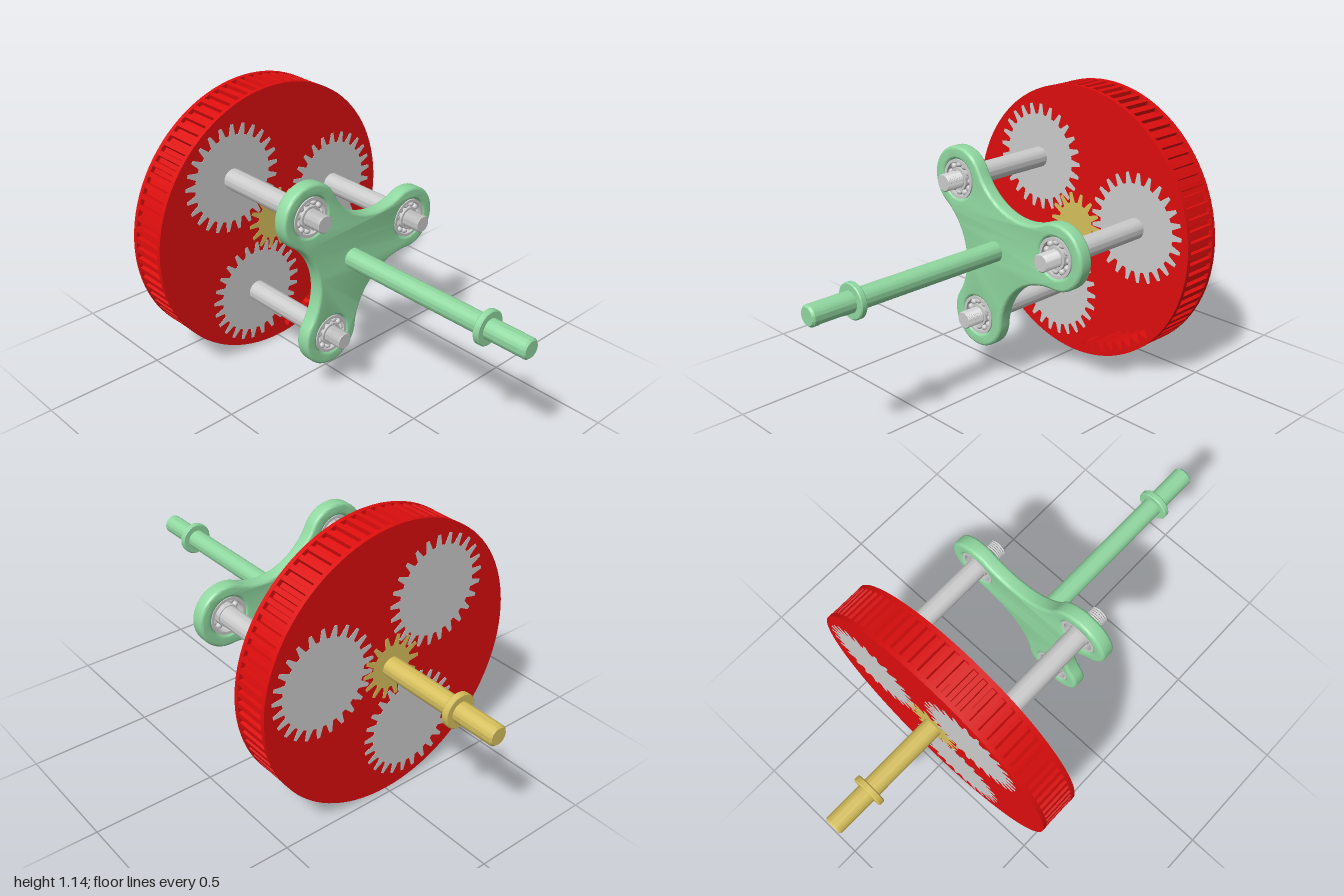
import * as THREE from 'three';
import { toCreasedNormals } from 'three/addons/utils/BufferGeometryUtils.js';

const TAU = Math.PI * 2;
const grey = new THREE.MeshStandardMaterial({ color: 0xcccccc });
const red = new THREE.MeshStandardMaterial({ color: 0xdd0d0d });
const green = new THREE.MeshStandardMaterial({ color: 0x90d8a0 });
const yellow = new THREE.MeshStandardMaterial({ color: 0xd6bf5c });

// The gear axis is local z while building; the finished group is turned onto x.
const FACE0 = -0.475, FACE1 = -0.305, ORBIT = 0.319;
const polar = (r, a, cx = 0, cy = 0) => new THREE.Vector2(cx + r * Math.cos(a), cy + r * Math.sin(a));

function add(parent, name, geometry, material) {
  const mesh = new THREE.Mesh(geometry, material);
  mesh.name = name;
  parent.add(mesh);
  return mesh;
}

// Turned part from [radius, axial position] pairs
function turned(points, segments = 40) {
  const g = new THREE.LatheGeometry(points.map(p => new THREE.Vector2(...p)), segments);
  return toCreasedNormals(g.rotateX(Math.PI / 2), 0.6);
}

function extruded(shape, z0, z1, bevel = 0) {
  const g = new THREE.ExtrudeGeometry(shape, {
    depth: z1 - z0 - 2 * bevel, curveSegments: 48, bevelEnabled: bevel > 0,
    bevelSize: bevel, bevelThickness: bevel, bevelOffset: -bevel, bevelSegments: 4,
  });
  return toCreasedNormals(g.translate(0, 0, z0 + bevel), 0.5);
}

// Trapezoid teeth, each centred on a multiple of the pitch angle
function toothedShape(teeth, root, tip, rootHalf, tipHalf) {
  const pts = [];
  for (let i = 0; i < teeth; i++) {
    const at = (r, f) => pts.push(polar(r, (i + f) * TAU / teeth));
    at(root, -rootHalf);
    at(tip, -tipHalf);
    at(tip, tipHalf);
    at(root, rootHalf);
  }
  return new THREE.Shape(pts);
}

// Window in the drum that shows a run of inner teeth
function toothWindow() {
  const pts = [polar(0.505, -0.72)];
  const teeth = 8, a0 = -0.74, step = -0.098;
  for (let i = 0; i < teeth; i++) {
    const a = a0 + i * step;
    pts.push(polar(0.512, a), polar(0.55, a + step * 0.3), polar(0.55, a + step * 0.5), polar(0.512, a + step * 0.8));
  }
  pts.push(polar(0.527, -1.53));
  return new THREE.Path(pts);
}

// Three-lobed plate: round lobes joined by tangent hollow arcs
function carrierShape(angles) {
  const lobe = 0.13, hollow = 0.261, hollowDist = 0.436, pts = [];
  const arc = (c, r, a, b, n) => {
    for (let i = 0; i < n; i++) pts.push(polar(r, a + (b - a) * i / n, c.x, c.y));
  };
  for (const t of angles) {
    const c = polar(ORBIT, t), next = polar(hollowDist, t + TAU / 6);
    const swing = Math.atan2(next.y - c.y, next.x - c.x) - t;
    const half = ((swing % TAU) + TAU) % TAU;
    arc(c, lobe, t - half, t + half, 28);
    // The hollow arc runs clockwise, symmetric about the line to the axis
    const toAxis = t + TAU / 6 + Math.PI;
    const open = Math.acos((hollowDist - ORBIT * 0.5) / (hollow + lobe));
    arc(next, hollow, toAxis + open, toAxis - open, 28);
  }
  const shape = new THREE.Shape(pts);
  for (const t of angles) {
    const c = polar(ORBIT, t);
    shape.holes.push(new THREE.Path().absarc(c.x, c.y, 0.079, 0, TAU, true));
  }
  return shape;
}

// Shaft made outward from z = 0, with collar, keyway and chamfered tip
function makeShaft(name, length, collarAt, keyFrom, keyTo, keyAngle, material) {
  const g = new THREE.Group(), r = 0.04;
  g.name = name;
  add(g, name + 'Body', turned([[0, 0], [r, 0], [r, keyFrom], [0, keyFrom]]), material);
  const h = 0.3;
  const section = new THREE.Shape();
  section.absarc(0, 0, r, keyAngle + h, keyAngle + TAU - h, false);
  const side = polar(r - 0.015, keyAngle), off = polar(r * Math.sin(h), keyAngle + Math.PI / 2);
  section.lineTo(side.x - off.x, side.y - off.y);
  section.lineTo(side.x + off.x, side.y + off.y);
  add(g, name + 'Keyway', extruded(section, keyFrom, keyTo), material);
  add(g, name + 'Tip', turned([[0, keyTo], [r, keyTo], [r, length - 0.008], [r - 0.007, length], [0, length]]), material);
  add(g, name + 'Collar', turned([[r, collarAt], [0.064, collarAt], [0.068, collarAt + 0.004],
    [0.068, collarAt + 0.022], [0.064, collarAt + 0.026], [r, collarAt + 0.026]]), material);
  return g;
}

function makeBearing() {
  const g = new THREE.Group();
  g.name = 'bearing';
  const ring = (a, b) => turned([[a, 0.094], [b, 0.094], [b, 0.148], [a, 0.148], [a, 0.094]], 32);
  add(g, 'outerRace', ring(0.067, 0.079), grey);
  add(g, 'innerRace', ring(0.036, 0.046), grey);
  for (let i = 0; i < 11; i++) {
    const p = polar(0.0565, i * TAU / 11);
    add(g, 'ball', new THREE.SphereGeometry(0.0125, 16, 12), grey).position.set(p.x, p.y, 0.132);
  }
  return g;
}

export function createModel() {
  const model = new THREE.Group();
  model.name = 'planetaryGearbox';
  const axis = new THREE.Group();
  axis.name = 'gearTrain';
  axis.rotation.y = Math.PI / 2;
  axis.position.y = 0.57;
  model.add(axis);

  // Red drum: two smooth rims around a slotted band
  const rimShape = () => new THREE.Shape().absarc(0, 0, 0.57, 0, TAU, false);
  add(axis, 'backRim', extruded(rimShape(), FACE0, FACE0 + 0.018), red);
  const band = toothedShape(80, 0.553, 0.569, 0.28, 0.22);
  const front = rimShape();
  band.holes.push(toothWindow());
  front.holes.push(toothWindow());
  add(axis, 'slottedBand', extruded(band, FACE0 + 0.018, FACE1 - 0.018), red);
  add(axis, 'frontRim', extruded(front, FACE1 - 0.018, FACE1), red);

  // Sun gear, a hair proud of the drum faces
  const lift = 0.0015;
  add(axis, 'sunGear', extruded(toothedShape(14, 0.088, 0.132, 0.33, 0.12), FACE0 - lift, FACE1 + lift), yellow);

  // Planets with their pins, threaded ends and bearings
  const angles = [0, 1, 2].map(i => THREE.MathUtils.degToRad(10.6 + 120 * i));
  const thread = [[0, 0.09], [0.035, 0.09], [0.035, 0.15]];
  for (let i = 0; i < 8; i++) {
    const z = 0.15 + i * 0.0085;
    thread.push([0.03, z + 0.004], [0.035, z + 0.0085]);
  }
  thread.push([0.031, 0.222], [0, 0.222]);
  for (const t of angles) {
    const planet = new THREE.Group();
    planet.name = 'planet';
    const c = polar(ORBIT, t);
    planet.position.set(c.x, c.y, 0);
    axis.add(planet);
    const gear = add(planet, 'planetGear',
      extruded(toothedShape(25, 0.18, 0.224, 0.33, 0.12), FACE0 - lift, FACE1 + lift), grey);
    gear.rotation.z = t + Math.PI - (Math.PI - 14 * t) / 25;
    add(planet, 'pin', turned([[0, -0.4], [0.042, -0.4], [0.042, 0.094], [0, 0.094]]), grey);
    add(planet, 'threadedEnd', turned(thread, 28), grey);
    planet.add(makeBearing());
  }

  // Carrier plate and the two shafts
  add(axis, 'carrierPlate', extruded(carrierShape(angles), 0.09, 0.15, 0.012), green);
  const output = makeShaft('outputShaft', 0.86, 0.66, 0.73, 0.83, -1.05, green);
  output.position.z = 0.14;
  axis.add(output);
  const input = makeShaft('inputShaft', 0.54, 0.34, 0.4, 0.51, -0.86, yellow);
  input.rotation.y = Math.PI;
  input.position.z = -0.46;
  axis.add(input);
  return model;
}
